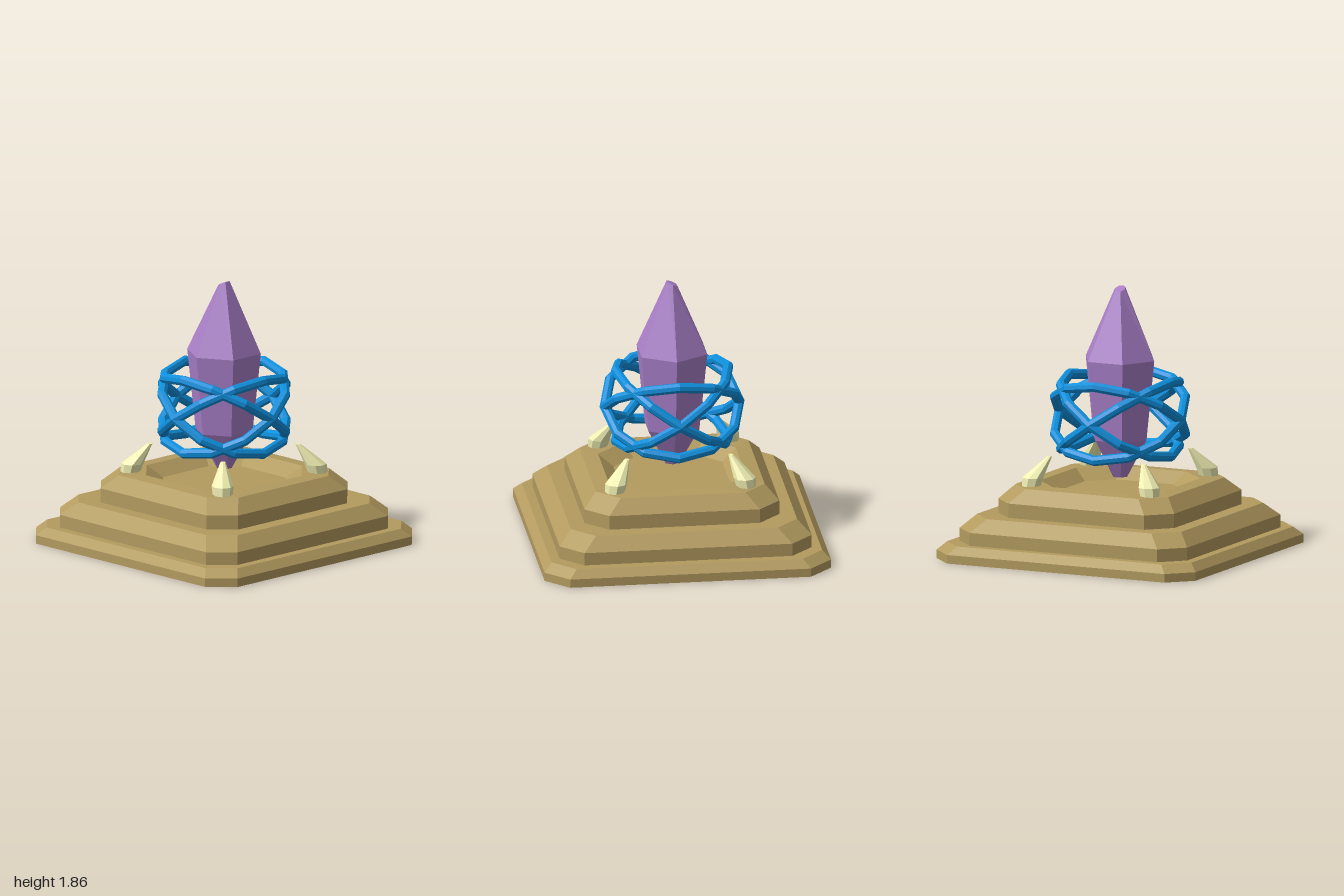
import * as THREE from 'three';

const material = (color) => new THREE.MeshStandardMaterial({ color, flatShading: true });

// Skins closed cross-sections (equal point counts, bottom to top) and caps both ends
function loft(rings) {
  const n = rings[0].length;
  const last = (rings.length - 1) * n;
  const index = [];
  for (let i = 0; i < rings.length - 1; i++) {
    for (let j = 0; j < n; j++) {
      const a = i * n + j, b = i * n + (j + 1) % n;
      index.push(a, a + n, b + n, a, b + n, b);
    }
  }
  for (let j = 1; j < n - 1; j++) {
    index.push(0, j, j + 1, last, last + j + 1, last + j);
  }
  const geometry = new THREE.BufferGeometry();
  geometry.setAttribute('position', new THREE.Float32BufferAttribute(rings.flat(2), 3));
  geometry.setIndex(index);
  const flat = geometry.toNonIndexed();
  flat.computeVertexNormals();
  return flat;
}

// Square with cut corners: h = half width, f = half length of the straight side
const cutSquare = (y, h, f) =>
  [[h, -f], [h, f], [f, h], [-f, h], [-h, f], [-h, -f], [-f, -h], [f, -h]].map(([x, z]) => [x, y, z]);

// Regular polygon; shift moves it along x and z, slope tilts it along z
function polygon(y, radius, sides, shift = 0, slope = 0) {
  return Array.from({ length: sides }, (_, i) => {
    const a = (i / sides) * Math.PI * 2;
    const z = Math.sin(a) * radius;
    return [Math.cos(a) * radius + shift, y + slope * z, z + shift];
  });
}

export function createModel() {
  const group = new THREE.Group();
  const add = (name, geometry, mat) => {
    const mesh = new THREE.Mesh(geometry, mat);
    mesh.name = name;
    group.add(mesh);
    return mesh;
  };

  // Stepped pedestal: three bevelled tiers and a sunken top
  add('pedestal', loft([
    cutSquare(0, 1, 0.84),
    cutSquare(0.06, 1, 0.84),
    cutSquare(0.115, 0.945, 0.79),
    cutSquare(0.115, 0.88, 0.725),
    cutSquare(0.205, 0.88, 0.725),
    cutSquare(0.295, 0.79, 0.635),
    cutSquare(0.295, 0.68, 0.525),
    cutSquare(0.395, 0.68, 0.525),
    cutSquare(0.49, 0.59, 0.435),
    cutSquare(0.498, 0.48, 0.28),
    cutSquare(0.42, 0.38, 0.22),
  ]), material(0xb39b5f));

  // Floating six-sided crystal with a slanted tip
  add('crystal', loft([
    polygon(0.52, 0.055, 6),
    polygon(0.79, 0.205, 6),
    polygon(1.35, 0.265, 6),
    polygon(1.84, 0.04, 6, 0, 0.45),
  ]), material(0xa97fc8));

  // Four tilted rings around the crystal
  const ringGeometry = new THREE.TorusGeometry(0.47, 0.036, 8, 12).rotateX(Math.PI / 2);
  const ringMaterial = material(0x0e8fdc);
  for (const axis of ['x', 'z']) {
    for (const side of [-1, 1]) {
      const ring = add('ring', ringGeometry, ringMaterial);
      ring.position.y = 0.95;
      ring.rotation[axis] = side * 0.585;
    }
  }

  // Claws on the corners, leaning inwards
  const clawGeometry = loft([
    polygon(0.48, 0.068, 8, 0.46),
    polygon(0.55, 0.077, 8, 0.448),
    polygon(0.69, 0.018, 8, 0.363),
  ]);
  const clawMaterial = material(0xf0efb2);
  for (let i = 0; i < 4; i++) {
    add('claw', clawGeometry, clawMaterial).rotation.y = i * Math.PI / 2;
  }

  return group;
}
